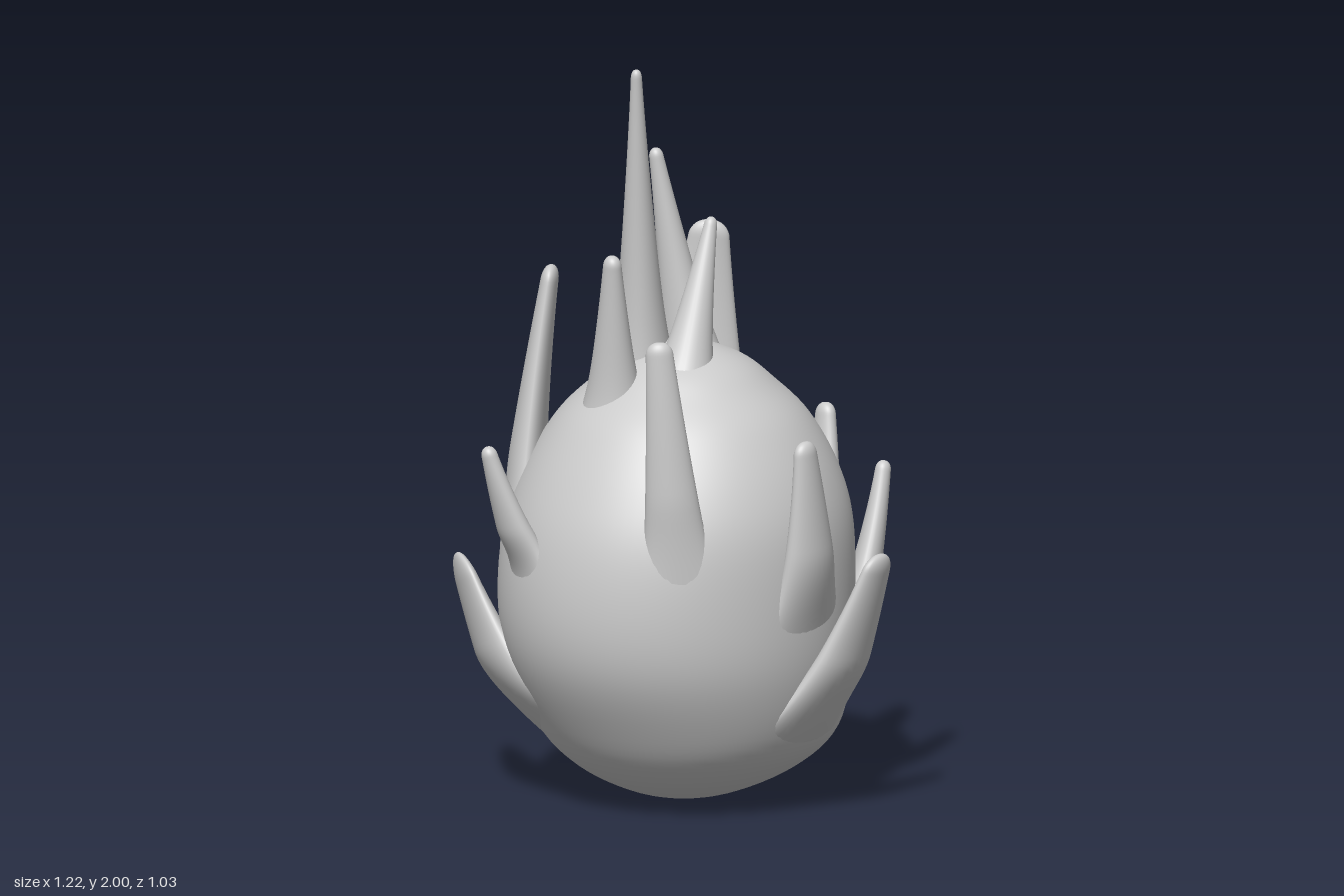
import * as THREE from 'three';
import { mergeVertices } from 'three/addons/utils/BufferGeometryUtils.js';

const material = new THREE.MeshStandardMaterial({ color: 0xcccccc, roughness: 0.7, side: THREE.DoubleSide });
const V = (p) => new THREE.Vector3(...p);

// Egg-shaped outline of the fruit body
const outline = new THREE.SplineCurve([[0, 0], [0.15, 0.03], [0.3, 0.1], [0.4, 0.2], [0.455, 0.37], [0.475, 0.55],
  [0.465, 0.75], [0.42, 0.9], [0.34, 1.04], [0.25, 1.13], [0.16, 1.2], [0, 1.265]]
  .map(([x, y]) => new THREE.Vector2(x, y))).getPoints(66);
outline.forEach((p) => { p.x = Math.max(p.x, 0); });

// Uneven swelling: fuller at the front and right, cut back low at the front
function swell(y, a) {
  const band = Math.exp(-(((y - 0.55) / 0.3) ** 2));
  const low = Math.exp(-(((y - 0.17) / 0.16) ** 2));
  return 1 + band * (0.04 * Math.cos(a + 0.2) - 0.03 * Math.sin(a) + 0.015 * Math.cos(3 * a + 0.6))
    - low * 0.1 * Math.cos(a);
}

function bodyRadius(y, a) {
  const i = Math.max(1, outline.findIndex((p) => p.y >= y));
  const p = outline[i - 1], q = outline[i];
  return THREE.MathUtils.mapLinear(y, p.y, q.y, p.x, q.x) * swell(y, a);
}

function bodyGeometry() {
  let geo = new THREE.LatheGeometry(outline, 96);
  geo.deleteAttribute('uv');
  geo.deleteAttribute('normal');
  geo = mergeVertices(geo, 1e-4);
  const pos = geo.attributes.position;
  for (let i = 0; i < pos.count; i++) {
    const x = pos.getX(i), y = pos.getY(i), z = pos.getZ(i);
    const k = swell(y, Math.atan2(x, z));
    pos.setXYZ(i, x * k, y, z * k);
  }
  geo.computeVertexNormals();
  return geo;
}

// Tapered leaf lofted along a bowed path, rounded at the tip. With hug = 1 its
// lower part is drawn onto the body so that it grows out of the skin.
function leafGeometry(root, tip, rootWidth, tipWidth, rootThick, hug) {
  const RINGS = 44, SIDES = 32;
  const a = V(root), c = V(tip);
  const out = new THREE.Vector3(root[0], 0, root[2]).normalize();
  const control = a.clone().lerp(c, 0.5).addScaledVector(out, 0.024 * hug);
  const path = new THREE.QuadraticBezierCurve3(a, control, c);
  const tipThick = Math.min(tipWidth, 0.022);
  const cap = Math.min(0.25, (0.6 * tipWidth + 0.012) / path.getLength());
  const positions = [], index = [];
  for (let i = 0; i <= RINGS; i++) {
    const s = Math.sin((i / RINGS) * Math.PI / 2);
    const p = path.getPoint(s), t = path.getTangent(s);
    const side = new THREE.Vector3().crossVectors(t, out).normalize();
    const normal = new THREE.Vector3().crossVectors(side, t).normalize();
    const end = s > 1 - cap ? Math.max(1e-5, 1 - ((s - 1 + cap) / cap) ** 2) ** 0.42 : 1;
    const taper = (1 - s) ** 1.15, flare = 1 + 0.4 * (1 - s) ** 6;
    const w = (tipWidth + (rootWidth - tipWidth) * taper) * flare * end;
    const h = (tipThick + (rootThick - tipThick) * taper) * flare * end;
    const grip = hug * (1 - THREE.MathUtils.smoothstep(s, 0, 0.5));
    for (let j = 0; j < SIDES; j++) {
      const ang = (j / SIDES) * Math.PI * 2;
      const u = w * Math.cos(ang);
      const q = p.clone().addScaledVector(side, u).addScaledVector(normal, -h * Math.sin(ang));
      q.addScaledVector(out, -u * u / 1.1);
      const r = Math.hypot(q.x, q.z);
      const skin = bodyRadius(q.y, Math.atan2(q.x, q.z)) - 0.012;
      const k = grip > 0 ? THREE.MathUtils.lerp(r, skin, grip) / r : 1;
      positions.push(q.x * k, q.y, q.z * k);
      if (i < RINGS) {
        const m = (j + 1) % SIDES, b = i * SIDES, n = b + SIDES;
        index.push(b + j, b + m, n + j, b + m, n + m, n + j);
      }
    }
  }
  const geo = new THREE.BufferGeometry();
  geo.setAttribute('position', new THREE.Float32BufferAttribute(positions, 3));
  geo.setIndex(index);
  geo.computeVertexNormals();
  return geo;
}

// Round spikes on the crown: name, root, tip, half width at root, half width at tip
const crownSpikes = [
  ['crownSpikeTall', [-0.11, 1.08, 0.03], [-0.06, 2.0, 0.155], 0.09, 0.014],
  ['crownSpikeBack', [0, 1.1, -0.08], [-0.09, 1.755, -0.01], 0.085, 0.018],
  ['crownSpikeLeft', [0.05, 1.08, 0.12], [0.06, 1.575, -0.05], 0.085, 0.016],
  ['crownSpikeFront', [-0.12, 1.02, 0.17], [-0.08, 1.51, 0.255], 0.09, 0.025],
];

// Flattened leaves around the body, same columns
const bodyLeaves = [
  ['upperLeafBack', [-0.13, 0.78, -0.28], [-0.07, 1.51, -0.29], 0.18, 0.05],
  ['upperLeafRight', [-0.43, 0.45, 0.15], [-0.35, 1.43, 0.085], 0.19, 0.045],
  ['upperLeafFront', [0.2, 0.5, 0.38], [0.15, 1.33, 0.43], 0.11, 0.035],
  ['sideLeafFrontRight', [-0.23, 0.58, 0.36], [-0.335, 1.01, 0.485], 0.11, 0.02],
  ['sideLeafLeft', [0.43, 0.45, 0.1], [0.45, 1.04, 0.165], 0.14, 0.035],
  ['sideLeafBackLeft', [0.36, 0.35, -0.22], [0.415, 0.89, -0.36], 0.13, 0.02],
  ['sideLeafBack', [0.18, 0.45, -0.38], [0.17, 1.0, -0.495], 0.13, 0.03],
  ['broadLeafBackRight', [-0.23, 0.3, -0.36], [-0.28, 0.89, -0.455], 0.19, 0.2],
  ['lowerLeafBackRight', [-0.3, 0.25, -0.33], [-0.36, 0.53, -0.46], 0.13, 0.06],
  ['lowerLeafRight', [-0.34, 0.18, 0.2], [-0.58, 0.645, 0.19], 0.21, 0.11],
  ['lowerLeafLeft', [0.38, 0.17, 0.02], [0.6, 0.72, 0.01], 0.18, 0.055],
];

export function createModel() {
  const model = new THREE.Group();
  model.name = 'spikyFruit';
  const add = (name, geometry) => {
    const mesh = new THREE.Mesh(geometry, material);
    mesh.name = name;
    model.add(mesh);
  };
  add('body', bodyGeometry());
  for (const [name, root, tip, w, wTip] of crownSpikes) add(name, leafGeometry(root, tip, w, wTip, 0.9 * w, 0));
  for (const [name, root, tip, w, wTip] of bodyLeaves) {
    add(name, leafGeometry(root, tip, w, wTip, 0.03 + 0.25 * w, 1));
  }
  return model;
}
